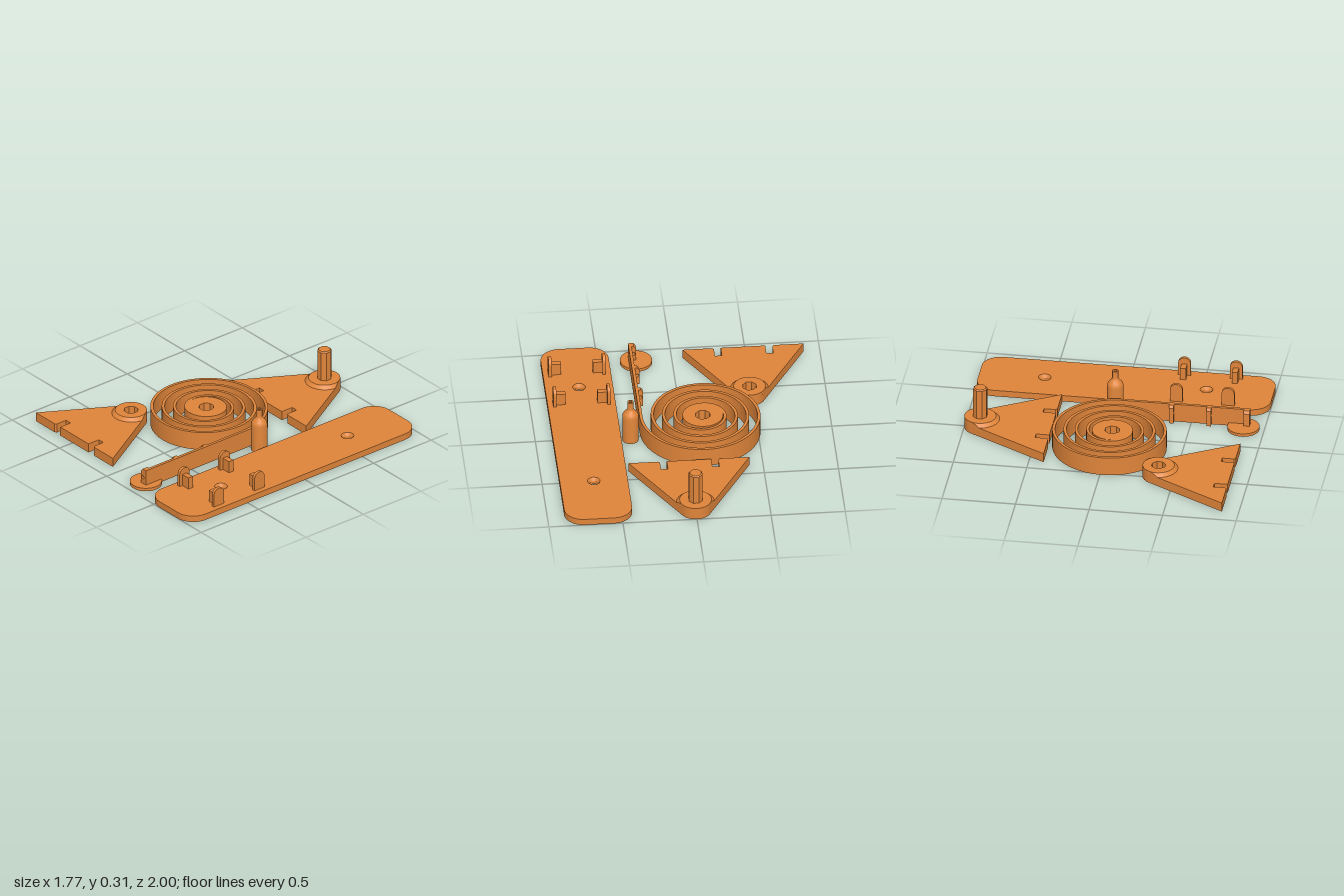
import * as THREE from 'three';
import { toCreasedNormals } from 'three/addons/utils/BufferGeometryUtils.js';

const material = new THREE.MeshStandardMaterial({ color: 0xe0853a });
const V = (x, y) => new THREE.Vector2(x, y);

function part(name, geometry, x = 0, y = 0, z = 0) {
  const mesh = new THREE.Mesh(toCreasedNormals(geometry, 0.5), material);
  mesh.name = name;
  mesh.position.set(x, y, z);
  return mesh;
}

const extrude = (shape, depth) =>
  new THREE.ExtrudeGeometry(shape, { depth, bevelEnabled: false, curveSegments: 24 });

// Plan shape (x, -z) raised upward
const slab = (shape, height) => extrude(shape, height).rotateX(-Math.PI / 2);

const circle = (r, x = 0, y = 0) => new THREE.Path().absarc(x, y, r, 0, Math.PI * 2, true);

// Octagon with flats facing the axes, given its apothem
function octagon(apothem) {
  const r = apothem / Math.cos(Math.PI / 8), pts = [];
  for (let i = 0; i < 8; i++) {
    const a = (i + 0.5) * Math.PI / 4;
    pts.push(V(r * Math.cos(a), r * Math.sin(a)));
  }
  return pts;
}

const TIP = 0.107, COLLAR = 0.13, SOCKET = 0.045, THICK = 0.065;

// Triangular side plate: rounded tip at the origin, base towards +z with two notches
function triangleShape() {
  const s = new THREE.Shape();
  const b = -0.493, t = -0.403;
  s.absarc(0, 0, TIP, Math.PI / 6, Math.PI * 5 / 6, false);
  [[-0.408, b], [-0.208, b], [-0.197, b + 0.012], [-0.197, t], [-0.15, t], [-0.15, b],
    [0.15, b], [0.15, t], [0.197, t], [0.197, b + 0.012], [0.208, b], [0.408, b]]
    .forEach(([x, y]) => s.lineTo(x, y));
  s.closePath();
  return s;
}

// Conical collar, trimmed to the plate's sides and pierced by an octagonal socket
function collarGeometry() {
  const top = 0.088;
  const g = new THREE.LatheGeometry(
    [V(COLLAR, THICK), V(COLLAR, THICK), V(TIP, top), V(SOCKET, top), V(SOCKET, 0.02)], 96);
  const p = g.attributes.position;
  for (let i = 0; i < p.count; i++) {
    const ring = i % 5;
    const phi = Math.atan2(p.getX(i), p.getZ(i));
    let r = TIP, y = p.getY(i);
    if (ring < 2) {
      const off = Math.max(0, Math.PI * 2 / 3 - Math.abs(phi));
      r = Math.min(COLLAR, off < 1.4 ? TIP / Math.cos(off) : COLLAR);
      if (ring === 1) y = THICK + COLLAR - r;
    } else if (ring > 2) {
      r = SOCKET / Math.cos(phi - Math.round(phi / (Math.PI / 4)) * Math.PI / 4);
    }
    p.setXYZ(i, r * Math.sin(phi), Math.min(y, top), r * Math.cos(phi));
  }
  return g;
}

function sidePlate(name, withPeg) {
  const g = new THREE.Group();
  g.name = name;
  const upper = triangleShape();
  upper.holes.push(new THREE.Path(octagon(SOCKET)));
  g.add(part('plateFloor', slab(triangleShape(), 0.02)));
  g.add(part('plateBody', slab(upper, THICK - 0.02), 0, 0.02));
  g.add(part('collar', collarGeometry()));
  if (withPeg) {
    const r = SOCKET / Math.cos(Math.PI / 8);
    const peg = new THREE.LatheGeometry([V(0, 0.02), V(r, 0.02), V(r, 0.3), V(r - 0.008, 0.308), V(0, 0.308)],
      8, Math.PI / 8);
    g.add(part('peg', peg));
  }
  return g;
}

// Spiral strip running out into a straight arm
function spiralSpring() {
  const g = new THREE.Group();
  g.name = 'spiralSpring';
  const cx = -0.132, cz = 0.025, H = 0.132, half = 0.01, turns = 3.8, n = 300;
  const side = (offset) => {
    const pts = [V(0.283 + offset, -0.9)];
    for (let i = 0; i <= n; i++) {
      const t = (i / n) * turns;
      const r = 0.415 + offset - 0.0763 * t;
      pts.push(V(cx + r * Math.cos(t * Math.PI * 2), -cz + r * Math.sin(t * Math.PI * 2)));
    }
    return pts;
  };
  const strip = new THREE.Shape([...side(half), ...side(-half).reverse()]);
  g.add(part('springStrip', slab(strip, H)));

  const hub = new THREE.Shape().absarc(0, 0, 0.137, 0, Math.PI * 2, false);
  hub.holes.push(new THREE.Path(octagon(0.048)));
  g.add(part('springHub', slab(hub, H), cx, 0, cz));

  // Pierced guides along the arm
  const guide = new THREE.Shape([V(0.243, 0), V(0.276, 0), V(0.276, H), V(0.258, H), V(0.243, H - 0.018)]);
  guide.holes.push(circle(0.012, 0.26, 0.07));
  [[0.352, 0.03], [0.607, 0.03], [0.858, 0.042]].forEach(([z, d]) =>
    g.add(part('armGuide', extrude(guide, d), 0, 0, z)));

  g.add(part('armFoot', new THREE.CylinderGeometry(0.108, 0.108, 0.022, 48), 0.243, 0.011, 0.859));
  return g;
}

// Long rounded base with countersunk holes and two pairs of brackets
function basePlate() {
  const g = new THREE.Group();
  g.name = 'basePlate';
  const w = 0.229, l = 0.998, r = 0.13, H = 0.045, holes = [-0.555, 0.545];
  const s = new THREE.Shape();
  s.absarc(w - r, l - r, r, 0, Math.PI / 2, false);
  s.absarc(-w + r, l - r, r, Math.PI / 2, Math.PI, false);
  s.absarc(-w + r, -l + r, r, Math.PI, Math.PI * 1.5, false);
  s.absarc(w - r, -l + r, r, Math.PI * 1.5, Math.PI * 2, false);
  holes.forEach((z) => s.holes.push(circle(0.043, 0, -z)));
  g.add(part('plate', slab(s, H)));
  holes.forEach((z) => g.add(part('countersink', new THREE.LatheGeometry(
    [V(0.043, H), V(0.028, 0.022), V(0.028, 0), V(0.043, 0)], 48), 0, 0, z)));

  const tab = new THREE.Shape();
  tab.moveTo(-0.043, 0);
  tab.lineTo(0.043, 0);
  tab.absarc(0, 0.088, 0.043, 0, Math.PI, false);
  for (const z of [0.368, 0.72]) {
    for (const m of [-1, 1]) {
      const tabGeo = extrude(tab, 0.021).rotateY(Math.PI / 2).translate(-0.0105, 0, 0);
      g.add(part('bracketTab', tabGeo, m * 0.182, H, z));
      g.add(part('bracketBlock', new THREE.BoxGeometry(0.064, 0.085, 0.038), m * 0.14, H + 0.0425, z));
    }
  }
  g.position.x = 0.656;
  return g;
}

// Hollow bottle-shaped sleeve
function sleeve() {
  const pts = [[0.055, 0], [0.055, 0.19], [0.053, 0.207], [0.046, 0.22], [0.03, 0.237], [0.023, 0.247], [0.021, 0.257],
    [0.021, 0.308], [0.011, 0.308], [0.011, 0.245], [0.04, 0.195], [0.04, 0], [0.055, 0]];
  return part('sleeve', new THREE.LatheGeometry(pts.map(([x, y]) => V(x, y)), 48), 0.361, 0, -0.03);
}

export function createModel() {
  const model = new THREE.Group();
  model.name = 'springMechanismParts';
  const back = sidePlate('pegSidePlate', true);
  back.position.set(0, 0, -0.893);
  const front = sidePlate('socketSidePlate', false);
  front.position.set(-0.481, 0, 0.393);
  model.add(back, front, spiralSpring(), basePlate(), sleeve());
  return model;
}
